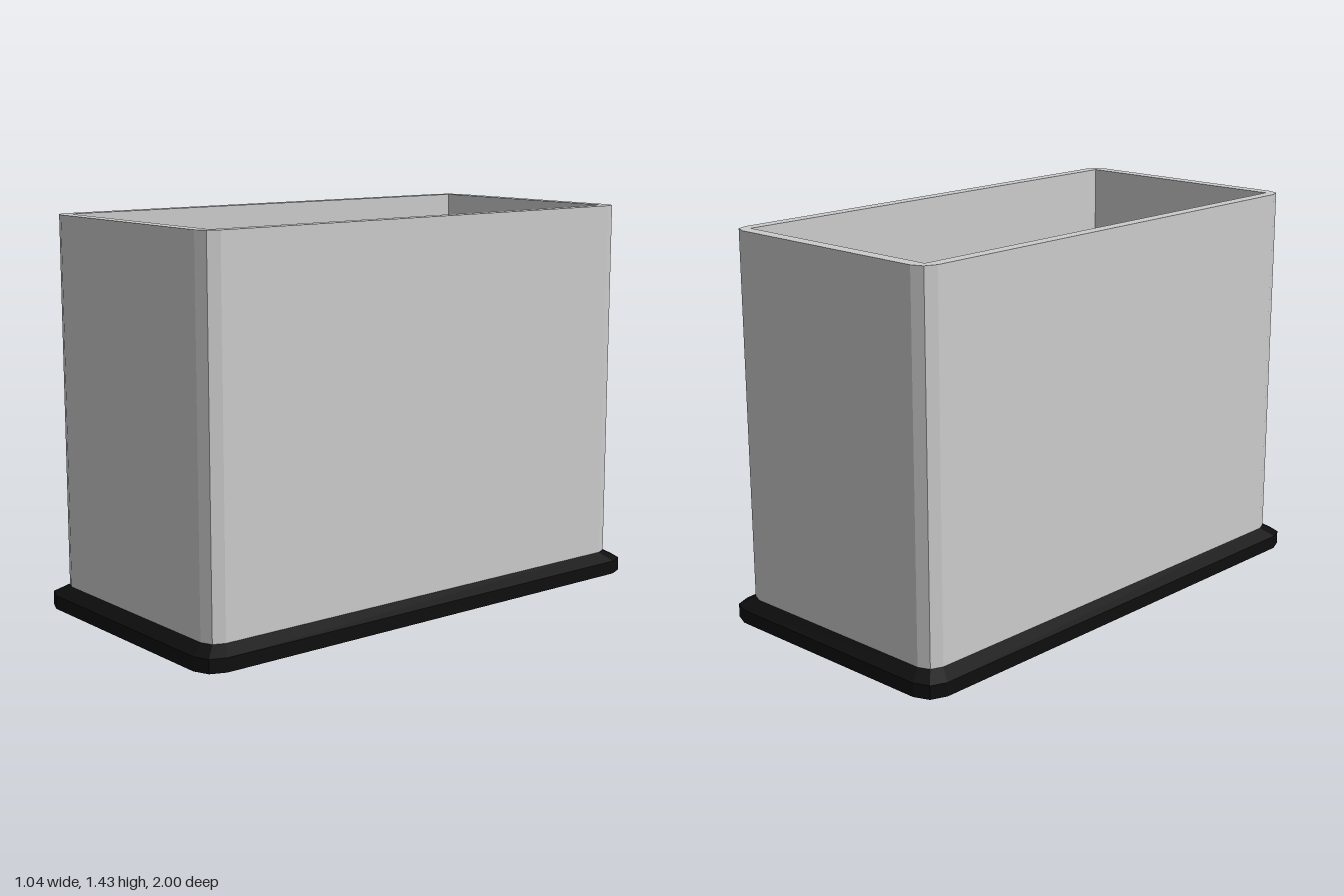
import * as THREE from 'three';
import { mergeGeometries } from 'three/addons/utils/BufferGeometryUtils.js';

// Rectangle outline with corners rounded in two facets, counter-clockwise
function outline(hx, hz, r) {
  const pts = [];
  [[1, 1], [-1, 1], [-1, -1], [1, -1]].forEach(([sx, sz], corner) => {
    for (let i = 0; i <= 2; i++) {
      const a = (corner + i / 2) * Math.PI / 2;
      pts.push(new THREE.Vector2(sx * (hx - r) + r * Math.cos(a), sz * (hz - r) + r * Math.sin(a)));
    }
  });
  return pts;
}

// Flat horizontal cap, facing up or down
function cap(pts, y, up) {
  const g = new THREE.ShapeGeometry(new THREE.Shape(pts)).toNonIndexed();
  g.deleteAttribute('uv');
  return g.rotateX(up ? -Math.PI / 2 : Math.PI / 2).translate(0, y, 0);
}

// Band of flat quads between two matching outlines
function band(low, y0, high, y1) {
  const pos = [];
  low.forEach((_, i) => {
    const j = (i + 1) % low.length;
    const a = [low[i].x, y0, -low[i].y], b = [low[j].x, y0, -low[j].y];
    const c = [high[j].x, y1, -high[j].y], d = [high[i].x, y1, -high[i].y];
    pos.push(...a, ...b, ...c, ...a, ...c, ...d);
  });
  const g = new THREE.BufferGeometry();
  g.setAttribute('position', new THREE.Float32BufferAttribute(pos, 3));
  g.computeVertexNormals();
  return g;
}

export function createModel() {
  const group = new THREE.Group();
  const baseStep = 0.05, baseTop = 0.08, top = 1.43;
  const foot = outline(0.522, 1, 0.08);
  const wall = outline(0.473, 0.95, 0.06);

  // Dark base plate with a sloped upper edge; its top is the floor inside
  const base = new THREE.Mesh(
    mergeGeometries([
      cap(foot, 0, false),
      band(foot, 0, foot, baseStep),
      band(foot, baseStep, wall, baseTop),
      cap(wall, baseTop, true),
    ]),
    new THREE.MeshStandardMaterial({ color: 0x0e0e0e, flatShading: true })
  );
  base.name = 'basePlate';
  group.add(base);

  // Open-topped wall: rounded outside, square-cornered inside
  const shape = new THREE.Shape(wall);
  const ix = 0.428, iz = 0.902;
  shape.holes.push(new THREE.Path([
    new THREE.Vector2(-ix, -iz), new THREE.Vector2(-ix, iz),
    new THREE.Vector2(ix, iz), new THREE.Vector2(ix, -iz),
  ]));
  const body = new THREE.Mesh(
    new THREE.ExtrudeGeometry(shape, { depth: top - baseTop, bevelEnabled: false })
      .rotateX(-Math.PI / 2).translate(0, baseTop, 0),
    new THREE.MeshStandardMaterial({ color: 0xcccccc, flatShading: true })
  );
  body.name = 'containerWall';
  group.add(body);

  return group;
}
